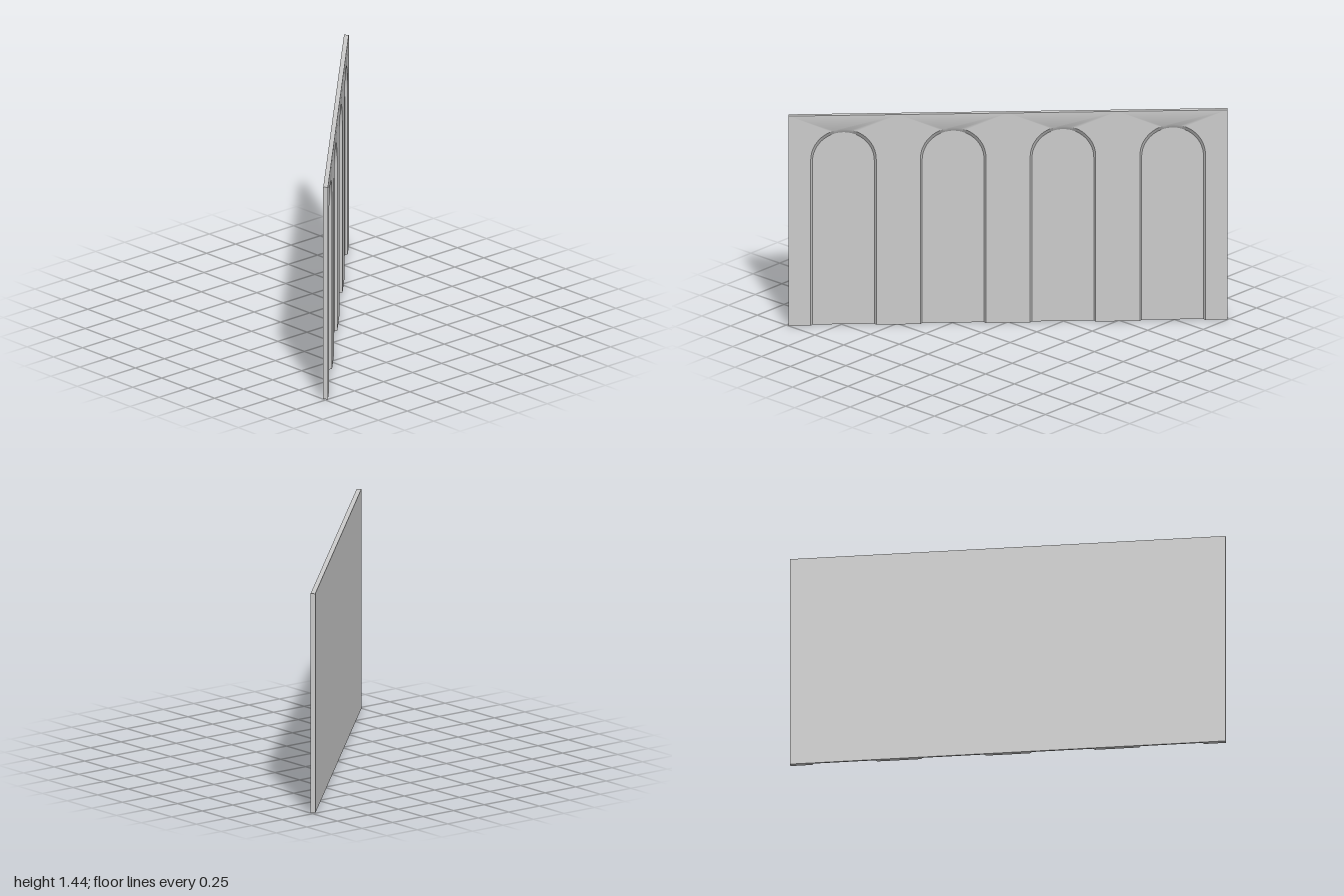
import * as THREE from 'three';
import { toCreasedNormals } from 'three/addons/utils/BufferGeometryUtils.js';

const LENGTH = 2.798, HEIGHT = 1.44, THICK = 0.03;
const BAYS = 4, BAY = LENGTH / BAYS;
const RECESS = 0.018;                       // depth of the niches
const OUTER = { r: 0.209, spring: 1.135 };  // niche outline on the wall face
const INNER = { r: 0.197, spring: 1.12 };   // smaller outline at the niche back

// Front layer of one bay: a rectangle with an arched notch and splayed reveal
function archedFront() {
  const h = BAY / 2, { r, spring } = OUTER;
  const shape = new THREE.Shape();
  shape.moveTo(-h, 0);
  shape.lineTo(-r, 0);
  shape.lineTo(-r, spring);
  shape.absarc(0, spring, r, Math.PI, 0, true);
  shape.lineTo(r, 0);
  shape.lineTo(h, 0);
  shape.lineTo(h, HEIGHT);
  shape.lineTo(-h, HEIGHT);
  shape.closePath();
  const geo = new THREE.ExtrudeGeometry(shape, { depth: RECESS, bevelEnabled: false, curveSegments: 20 });

  // Shrink the notch at the back of the layer
  const p = geo.attributes.position, k = INNER.r / r;
  for (let i = 0; i < p.count; i++) {
    const x = p.getX(i), y = p.getY(i);
    if (p.getZ(i) > 1e-5 || Math.abs(x) > r + 1e-4 || y > spring + r + 1e-4) continue;
    p.setX(i, x * k);
    p.setY(i, y < spring ? y * INNER.spring / spring : INNER.spring + (y - spring) * k);
  }
  return toCreasedNormals(geo, 0.6);
}

export function createModel() {
  const stone = new THREE.MeshStandardMaterial({ color: 0xcccccc });
  stone.name = 'paleGrey';

  const model = new THREE.Group();
  model.name = 'archedWall';
  const front = archedFront();
  const back = new THREE.BoxGeometry(BAY, HEIGHT, THICK - RECESS);

  for (let i = 0; i < BAYS; i++) {
    const bay = new THREE.Group();
    bay.name = `wallBay${i + 1}`;
    bay.position.x = (i - (BAYS - 1) / 2) * BAY;

    // Solid back, whose front face is the niche panel
    const slab = new THREE.Mesh(back, stone);
    slab.name = 'backSlab';
    slab.position.set(0, HEIGHT / 2, -RECESS / 2);

    const face = new THREE.Mesh(front, stone);
    face.name = 'archedFace';
    face.position.z = THICK / 2 - RECESS;

    bay.add(slab, face);
    model.add(bay);
  }

  // The wall runs diagonally from front left to back right
  model.rotation.y = Math.PI / 4;
  const root = new THREE.Group();
  root.name = 'wall';
  root.add(model);
  return root;
}
